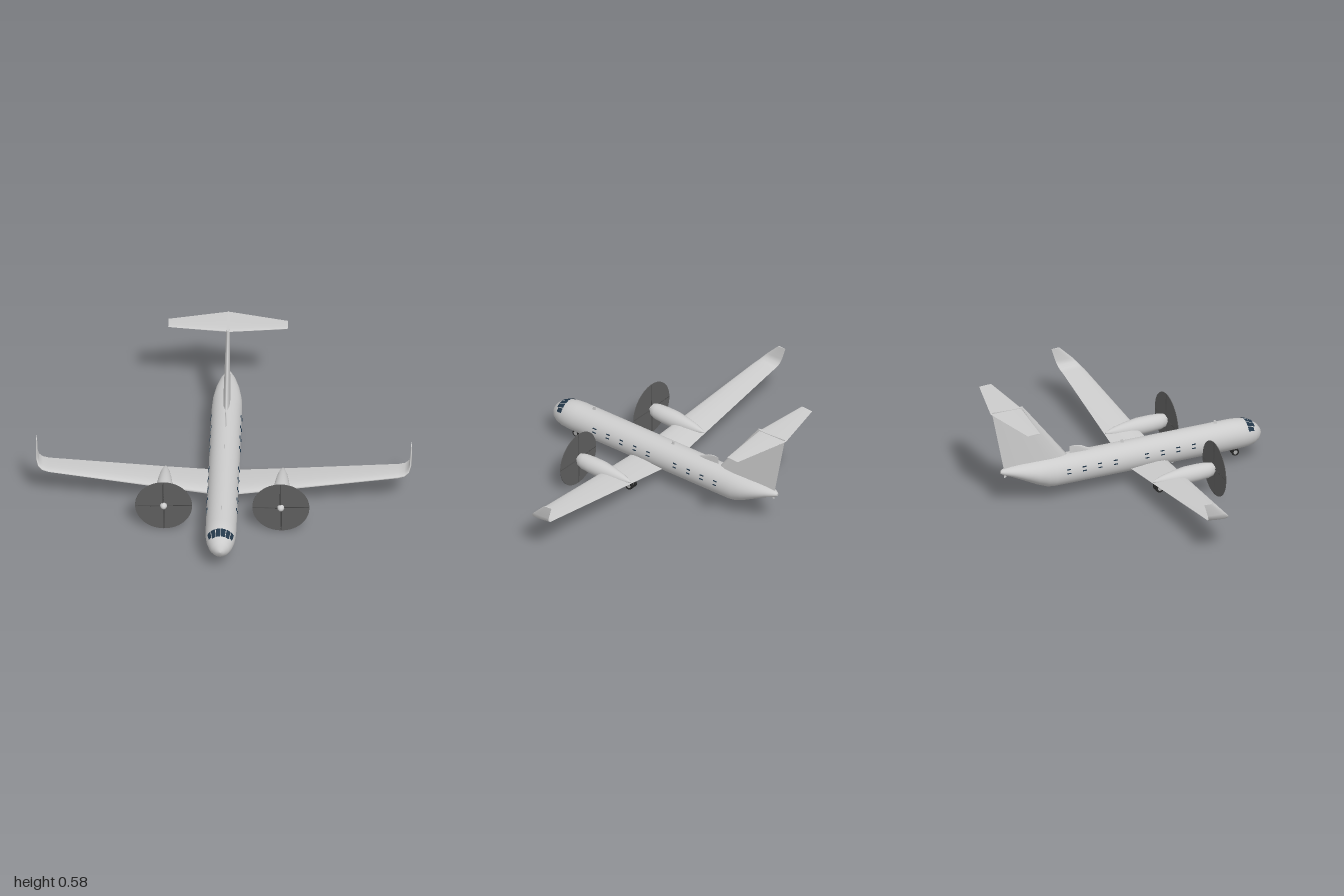
import * as THREE from 'three';

const mat = (name, color, side = THREE.FrontSide) => {
  const m = new THREE.MeshStandardMaterial({ color, side });
  m.name = name;
  return m;
};

// Skin closed rings of points into a capped, outward-facing solid
function loft(rings) {
  const n = rings[0].length, pos = [], idx = [];
  rings.forEach(r => r.forEach(p => pos.push(...p)));
  for (let i = 0; i < rings.length - 1; i++)
    for (let j = 0; j < n; j++) {
      const a = i * n + j, b = i * n + (j + 1) % n;
      idx.push(a, b, b + n, a, b + n, a + n);
    }
  [[rings[0], true], [rings[rings.length - 1], false]].forEach(([r, rev]) => {
    const base = pos.length / 3;
    r.forEach(p => pos.push(...p));
    for (let j = 1; j < n - 1; j++) idx.push(base, base + (rev ? j + 1 : j), base + (rev ? j : j + 1));
  });
  // Flip the winding when the enclosed volume is negative
  const v = i => new THREE.Vector3().fromArray(pos, i * 3);
  let vol = 0;
  for (let k = 0; k < idx.length; k += 3) vol += v(idx[k]).dot(v(idx[k + 1]).cross(v(idx[k + 2])));
  if (vol < 0) idx.reverse();
  const g = new THREE.BufferGeometry();
  g.setAttribute('position', new THREE.Float32BufferAttribute(pos, 3));
  g.setIndex(idx);
  g.computeVertexNormals();
  return g;
}

// Body with elliptical sections: [z, centreY, radiusY, radiusX]
const body = (sections, x = 0, n = 32) => loft(sections.map(([z, cy, ry, rx]) =>
  Array.from({ length: n }, (_, i) => {
    const a = i / n * Math.PI * 2;
    return [x + Math.cos(a) * rx, cy + Math.sin(a) * ry, z];
  })));

// Aerofoil surface: [x, y, leadingZ, trailingZ, thickness, normalX, normalY]
const half = [[0.03, 0.2], [0.12, 0.42], [0.3, 0.5], [0.6, 0.36], [0.85, 0.14]];
const profile = [[0, 0], ...half, [1, 0.01], [1, -0.01], ...half.map(([u, t]) => [u, -t]).reverse()];
const foil = sections => loft(sections.map(([x, y, zl, zt, th, nx, ny]) =>
  profile.map(([u, t]) => [x + nx * t * th, y + ny * t * th, zl + (zt - zl) * u])));
const bothSides = s => [...s.slice().reverse().map(([x, y, a, b, t, nx, ny]) => [-x, y, a, b, t, -nx, ny]), ...s];

const HULL = [
  [0.785, 0.15, 0.003, 0.003], [0.78, 0.15, 0.021, 0.021], [0.762, 0.151, 0.046, 0.045],
  [0.735, 0.154, 0.064, 0.062], [0.70, 0.159, 0.076, 0.074], [0.66, 0.162, 0.081, 0.08],
  [0.61, 0.163, 0.0835, 0.082], [0.2, 0.163, 0.0835, 0.082], [-0.43, 0.163, 0.0835, 0.082],
  [-0.47, 0.166, 0.0805, 0.081], [-0.53, 0.178, 0.067, 0.077], [-0.6, 0.195, 0.048, 0.063],
  [-0.67, 0.209, 0.028, 0.04], [-0.715, 0.213, 0.016, 0.018], [-0.727, 0.213, 0.007, 0.008]];

// Point on the hull surface, pushed out slightly
function hullPoint(z, a, out) {
  const i = Math.max(1, HULL.findIndex(s => s[0] <= z));
  const p = HULL[i - 1], q = HULL[i], t = (z - p[0]) / (q[0] - p[0]);
  const [, cy, ry, rx] = p.map((v, k) => v + (q[k] - v) * t);
  return [Math.cos(a) * (rx + out), cy + Math.sin(a) * (ry + out), z];
}

// Curved patch of glass lying on the hull
function pane(z0, z1, a0, a1) {
  const rows = 4, cols = 5, pos = [], idx = [];
  for (let i = 0; i <= rows; i++)
    for (let j = 0; j <= cols; j++)
      pos.push(...hullPoint(z0 + (z1 - z0) * i / rows, a0 + (a1 - a0) * j / cols, 0.0022));
  for (let i = 0; i < rows; i++)
    for (let j = 0; j < cols; j++) {
      const a = i * (cols + 1) + j, b = a + cols + 1;
      idx.push(a, b, a + 1, b, b + 1, a + 1);
    }
  const g = new THREE.BufferGeometry();
  g.setAttribute('position', new THREE.Float32BufferAttribute(pos, 3));
  g.setIndex(idx);
  g.computeVertexNormals();
  return g;
}

export function createModel() {
  const root = new THREE.Group();
  root.name = 'propellerAircraft';
  const skin = mat('light grey skin', 0xcccccc);
  const glass = mat('dark blue glass', 0x24384a, THREE.DoubleSide);
  const discMat = mat('propeller blur grey', 0x5e5e5e);
  const bladeMat = mat('blade dark grey', 0x484848);
  const rubber = mat('tyre rubber', 0x262626);
  const metal = mat('hub metal', 0xa8a8a8);

  const add = (name, geo, m, parent = root, p = [0, 0, 0]) => {
    const mesh = new THREE.Mesh(geo, m);
    mesh.name = name;
    mesh.position.set(...p);
    parent.add(mesh);
    return mesh;
  };

  add('fuselage', body(HULL, 0, 40), skin);

  // Wing with upswept winglets, in one span
  add('wing', foil(bothSides([
    [0.0, 0.108, 0.225, 0.0, 0.036, 0, 1], [0.31, 0.14, 0.208, 0.018, 0.03, 0, 1],
    [0.93, 0.209, 0.178, 0.051, 0.018, 0, 1], [0.965, 0.216, 0.171, 0.049, 0.016, -0.35, 0.94],
    [0.986, 0.232, 0.158, 0.044, 0.014, -0.75, 0.66], [0.995, 0.258, 0.135, 0.036, 0.011, -0.97, 0.2],
    [0.998, 0.33, 0.062, 0.015, 0.006, -1, 0]])), skin);

  // T-tail
  add('fin', foil([[0, 0.2, -0.305, -0.70, 0.04, 1, 0], [0, 0.247, -0.342, -0.712, 0.038, 1, 0],
    [0, 0.58, -0.598, -0.778, 0.018, 1, 0]]), skin);
  add('tailplane', foil(bothSides([[0, 0.572, -0.605, -0.785, 0.011, 0, 1],
    [0.318, 0.574, -0.637, -0.71, 0.006, 0, 1]])), skin);

  // Aerials on the spine and belly
  add('dorsalAerial', foil([[0, 0.24, -0.19, -0.325, 0.01, 1, 0], [0, 0.247, -0.195, -0.325, 0.01, 1, 0],
    [0, 0.279, -0.255, -0.325, 0.008, 1, 0], [0, 0.287, -0.285, -0.325, 0.005, 1, 0]]), skin);
  for (const [z, y0, y1] of [[0.535, 0.243, 0.266], [-0.005, 0.243, 0.266], [0.29, 0.085, 0.064], [-0.685, 0.2, 0.178]])
    add('bladeAerial', foil([[0, y0, z, z - 0.022, 0.006, 1, 0], [0, y1, z - 0.01, z - 0.022, 0.004, 1, 0]]), skin);

  // Windscreen panes
  for (let i = 0; i < 6; i++) {
    const a0 = (24 + i * 22) * Math.PI / 180, a1 = a0 + 19 * Math.PI / 180;
    add('windscreenPane', pane(0.69, i === 0 || i === 5 ? 0.725 : 0.735, a0, a1), glass);
  }

  // Cabin windows: dark upper and lower edges
  for (let i = 0; i < 10; i++) {
    if (i === 5) continue;
    const z = 0.455 - i * 0.091;
    for (const y of [0.191, 0.17])
      for (const s of [1, -1]) {
        const a = Math.asin((y - 0.163) / 0.0835);
        const p = hullPoint(z, s > 0 ? a : Math.PI - a, 0);
        add('cabinWindowEdge', new THREE.BoxGeometry(0.006, 0.005, 0.022), glass, root, p);
      }
  }

  // Twin-wheel unit
  const wheels = (name, x, y, z, r, w, gap, top) => {
    const gear = new THREE.Group();
    gear.name = name;
    gear.position.set(x, y, z);
    root.add(gear);
    const strut = top - y;
    add('strut', new THREE.CylinderGeometry(r * 0.25, r * 0.25, strut, 10), metal, gear, [0, strut / 2, 0]);
    for (const s of [1, -1]) {
      add('tyre', new THREE.CylinderGeometry(r, r, w, 20).rotateZ(Math.PI / 2), rubber, gear, [s * gap, 0, 0]);
      add('hub', new THREE.CylinderGeometry(r * 0.58, r * 0.58, w + 0.002, 16).rotateZ(Math.PI / 2), metal, gear, [s * gap, 0, 0]);
    }
  };
  wheels('noseGear', 0, 0.058, 0.635, 0.02, 0.01, 0.011, 0.09);

  for (const s of [1, -1]) {
    const x = s * 0.312;
    wheels('mainGear', s * 0.22, 0.06, 0.095, 0.024, 0.015, 0.014, 0.13);

    // Engine nacelle
    add('nacelle', body([
      [0.374, 0.153, 0.026, 0.02], [0.366, 0.153, 0.036, 0.03], [0.335, 0.152, 0.043, 0.041],
      [0.28, 0.151, 0.046, 0.046], [0.21, 0.149, 0.047, 0.045], [0.14, 0.147, 0.039, 0.036],
      [0.08, 0.146, 0.027, 0.025], [0.04, 0.146, 0.013, 0.012], [0.022, 0.146, 0.003, 0.003]], x, 28), skin);

    // Propeller
    const prop = new THREE.Group();
    prop.name = 'propeller';
    prop.position.set(x, 0.153, 0.38);
    root.add(prop);
    add('propellerDisc', new THREE.CylinderGeometry(0.152, 0.152, 0.003, 56).rotateX(Math.PI / 2), discMat, prop);
    add('spinner', new THREE.SphereGeometry(0.019, 20, 12).scale(1, 1, 1.35), skin, prop);
    for (let i = 0; i < 4; i++) {
      const blade = new THREE.BoxGeometry(0.016, 0.138, 0.003, 1, 8, 1);
      // Twist and taper towards the tip
      const p = blade.attributes.position, v = new THREE.Vector3();
      for (let k = 0; k < p.count; k++) {
        v.fromBufferAttribute(p, k);
        const t = (v.y + 0.069) / 0.138;
        v.x *= 1 - 0.45 * t;
        v.applyAxisAngle(new THREE.Vector3(0, 1, 0), 0.95 - 0.6 * t);
        p.setXYZ(k, v.x, v.y + 0.081, v.z);
      }
      blade.computeVertexNormals();
      add('propellerBlade', blade.rotateZ(i * Math.PI / 2), bladeMat, prop);
    }
  }
  return root;
}
